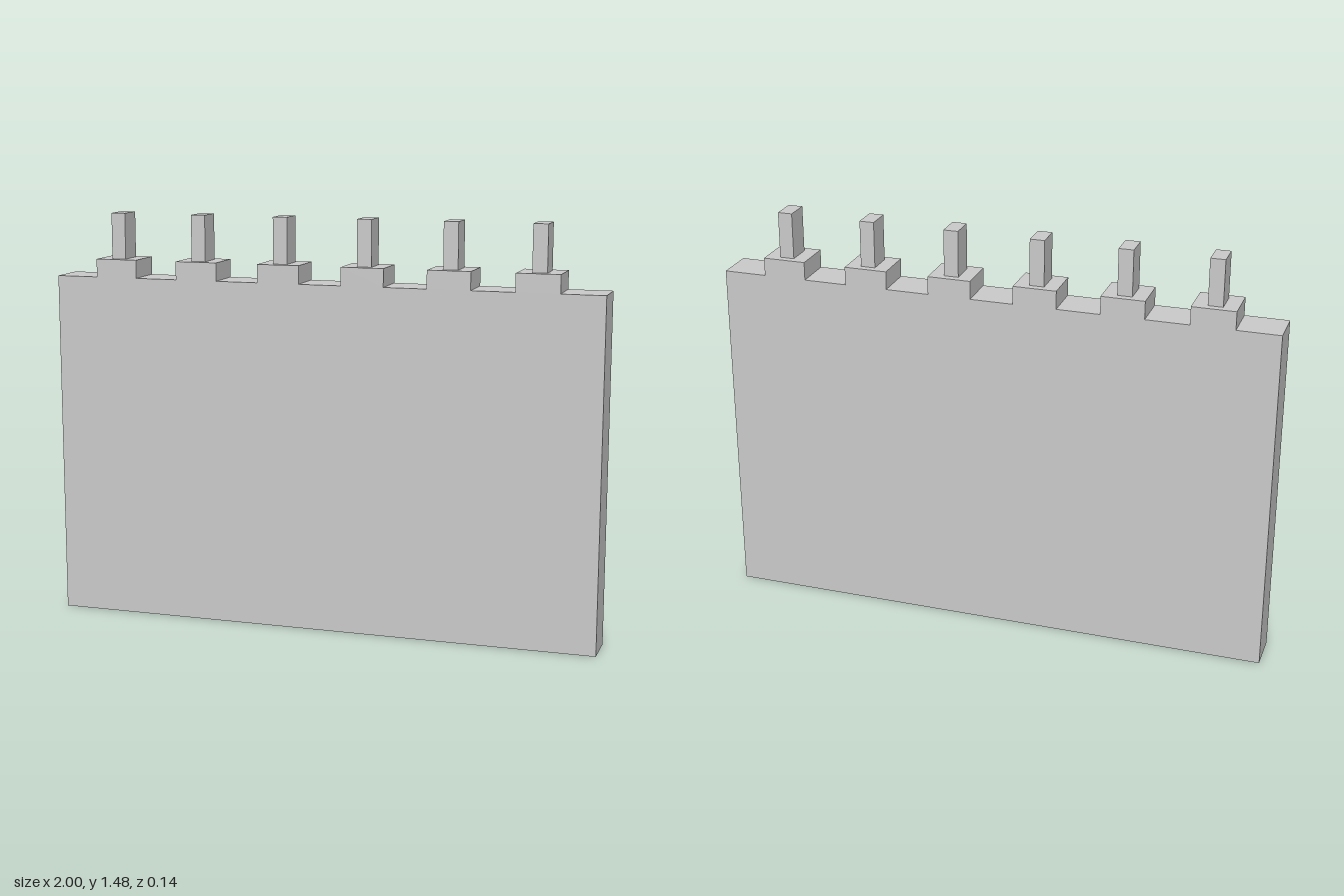
import * as THREE from 'three';

const DEPTH = 0.145, WALL_TOP = 1.25, MERLON_TOP = 1.315, POST_TOP = 1.48;
const MERLONS = 6;
const STEP = 2 / (2 * MERLONS + 1); // merlons and gaps share one width

export function createModel() {
  const group = new THREE.Group();
  const material = new THREE.MeshStandardMaterial({ color: 0xcccccc, flatShading: true });

  // Wall slab with a crenellated top edge
  const outline = new THREE.Shape();
  outline.moveTo(-1, 0);
  outline.lineTo(1, 0);
  outline.lineTo(1, WALL_TOP);
  for (let i = MERLONS - 1; i >= 0; i--) {
    const left = -1 + (2 * i + 1) * STEP, right = left + STEP;
    outline.lineTo(right, WALL_TOP);
    outline.lineTo(right, MERLON_TOP);
    outline.lineTo(left, MERLON_TOP);
    outline.lineTo(left, WALL_TOP);
  }
  outline.lineTo(-1, WALL_TOP);
  outline.closePath();
  const wallGeometry = new THREE.ExtrudeGeometry(outline, { depth: DEPTH, bevelEnabled: false });
  wallGeometry.translate(0, 0, -DEPTH / 2);
  const wall = new THREE.Mesh(wallGeometry, material);
  wall.name = 'crenellatedWall';
  group.add(wall);

  // One upright post centred on each merlon
  const postHeight = POST_TOP - MERLON_TOP;
  const postGeometry = new THREE.BoxGeometry(0.052, postHeight, 0.092);
  for (let i = 0; i < MERLONS; i++) {
    const post = new THREE.Mesh(postGeometry, material);
    post.name = `post${i + 1}`;
    post.position.set(-1 + (2 * i + 1.5) * STEP, MERLON_TOP + postHeight / 2, 0);
    group.add(post);
  }
  return group;
}
